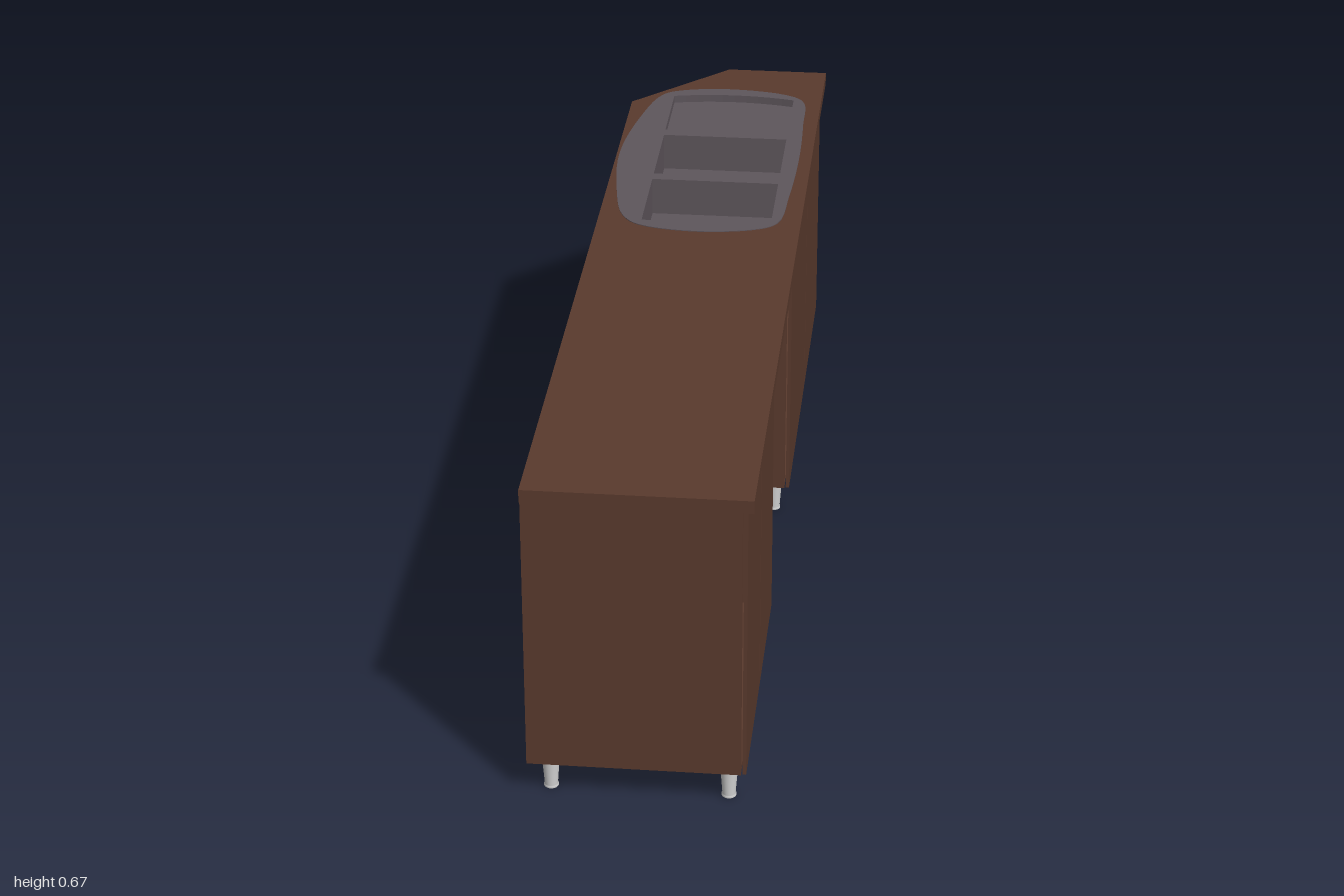
import * as THREE from 'three';

const wood = new THREE.MeshStandardMaterial({ color: 0x5a3a2d });
wood.name = 'brown wood';
const steel = new THREE.MeshStandardMaterial({ color: 0x5e565c });
steel.name = 'grey sink';
const metal = new THREE.MeshStandardMaterial({ color: 0xd2d2d2 });
metal.name = 'pale metal';

const TOP = 0.667, UNDER = 0.641, BASE = 0.071, T = 0.01;
const BACK = -0.213, FRONT = 0.19;

const points = list => list.map(([x, z]) => new THREE.Vector2(x, z));

// Horizontal slab cut from an (x, z) outline, hanging down from height y
function slab(name, outline, holes, y, thickness, material) {
  const shape = new THREE.Shape(points(outline));
  for (const hole of holes) shape.holes.push(new THREE.Path(points(hole)));
  const geometry = new THREE.ExtrudeGeometry(shape, { depth: thickness, bevelEnabled: false });
  geometry.rotateX(Math.PI / 2).translate(0, y, 0);
  const mesh = new THREE.Mesh(geometry, material);
  mesh.name = name;
  return mesh;
}

// Box given by its lower and upper limits
function block(name, x0, x1, y0, y1, z0, z1) {
  const mesh = new THREE.Mesh(new THREE.BoxGeometry(x1 - x0, y1 - y0, z1 - z0), wood);
  mesh.position.set((x0 + x1) / 2, (y0 + y1) / 2, (z0 + z1) / 2);
  mesh.name = name;
  return mesh;
}

// Basin outline; arch bows the rear edge outwards, grow enlarges it
function basinOutline({ z0, z1, arch }, grow = 0) {
  const xa = -0.12 - grow, xb = 0.15 + grow;
  const outline = [[xb, z1 + grow], [xa, z1 + grow]];
  const steps = arch ? 10 : 1;
  for (let i = 0; i <= steps; i++) {
    const t = i / steps;
    outline.push([xa + (xb - xa) * t, z0 - grow - arch * 4 * t * (1 - t)]);
  }
  return outline;
}

function createLeg(x, z) {
  const profile = points([[0, 0], [0.013, 0], [0.014, 0.001], [0.014, 0.005], [0.0125, 0.006], [0.0175, BASE]]);
  const leg = new THREE.Mesh(new THREE.LatheGeometry(profile, 20), metal);
  leg.position.set(x, 0, z);
  leg.name = 'leg';
  return leg;
}

function createDoors(z0, split, z1) {
  const doors = new THREE.Group();
  doors.name = 'doors';
  doors.add(
    block('door', 0.193, 0.2, 0.073, 0.637, z0, split - 0.004),
    block('door', 0.193, 0.2, 0.073, 0.637, split + 0.004, z1)
  );
  return doors;
}

export function createModel() {
  const model = new THREE.Group();
  model.name = 'kitchenCounter';

  const basins = [
    { name: 'drainer', z0: -0.828, z1: -0.637, arch: 0.016, floor: 0.652 },
    { name: 'middleBasin', z0: -0.606, z1: -0.397, arch: 0, floor: 0.588 },
    { name: 'frontBasin', z0: -0.368, z1: -0.16, arch: 0, floor: 0.588 }
  ];

  // Worktop with one clipped corner and openings for the basins
  const worktop = [[-0.212, -0.79], [-0.01, -1], [0.212, -1], [0.212, 1], [-0.212, 1]];
  model.add(slab('worktop', worktop, basins.map(b => basinOutline(b, 0.004)), TOP, TOP - UNDER, wood));

  // Sink: curved rim plate, then walls and floor of each basin
  const sink = new THREE.Group();
  sink.name = 'sink';
  const rimCurve = new THREE.CatmullRomCurve3([
    [-0.145, -0.835], [-0.185, -0.69], [-0.206, -0.5], [-0.19, -0.31], [-0.162, -0.18], [-0.125, -0.138],
    [0, -0.115], [0.125, -0.138], [0.163, -0.17], [0.178, -0.31], [0.185, -0.5], [0.181, -0.69],
    [0.171, -0.825], [0.13, -0.858], [0, -0.879], [-0.105, -0.862]
  ].map(([x, z]) => new THREE.Vector3(x, 0, z)), true);
  const rim = rimCurve.getPoints(80).slice(0, -1).map(p => [p.x, p.z]);
  sink.add(slab('sinkRim', rim, basins.map(b => basinOutline(b)), TOP + 0.0015, 0.0015, steel));
  for (const b of basins) {
    sink.add(slab(b.name + 'Walls', basinOutline(b, 0.004), [basinOutline(b)], TOP, TOP - b.floor, steel));
    sink.add(slab(b.name + 'Floor', basinOutline(b, 0.004), [], b.floor, 0.004, steel));
  }
  model.add(sink);

  // Front cabinet, open at the back
  const frontCabinet = new THREE.Group();
  frontCabinet.name = 'frontCabinet';
  frontCabinet.add(
    block('sidePanel', BACK, FRONT, BASE, UNDER, 0.985 - T, 0.985),
    block('sidePanel', BACK, FRONT, BASE, UNDER, 0.375, 0.375 + T),
    block('bottomPanel', BACK, FRONT, BASE, BASE + T, 0.375 + T, 0.985 - T),
    createDoors(0.375, 0.677, 0.985)
  );
  model.add(frontCabinet);

  // Rear cabinet with a stepped bottom and a short end panel
  const rearCabinet = new THREE.Group();
  rearCabinet.name = 'rearCabinet';
  const bottom = [[BACK, -0.12], [BACK, -0.588], [-0.012, -0.588], [-0.012, -0.988], [FRONT, -0.988], [FRONT, -0.12]];
  rearCabinet.add(
    block('sidePanel', BACK, FRONT, BASE, UNDER, -0.11 - T, -0.11),
    block('endPanel', -0.012, FRONT, BASE, UNDER, -0.998, -0.998 + T),
    slab('bottomPanel', bottom, [], BASE + T, T, wood),
    createDoors(-0.998, -0.585, -0.11)
  );
  model.add(rearCabinet);

  // Legs: a full row under the doors, corner legs at the back
  const legs = new THREE.Group();
  legs.name = 'legs';
  for (const z of [0.947, 0.677, 0.407, -0.15, -0.583, -0.933]) legs.add(createLeg(0.165, z));
  for (const z of [0.947, 0.407, -0.15]) legs.add(createLeg(-0.172, z));
  model.add(legs);

  return model;
}
